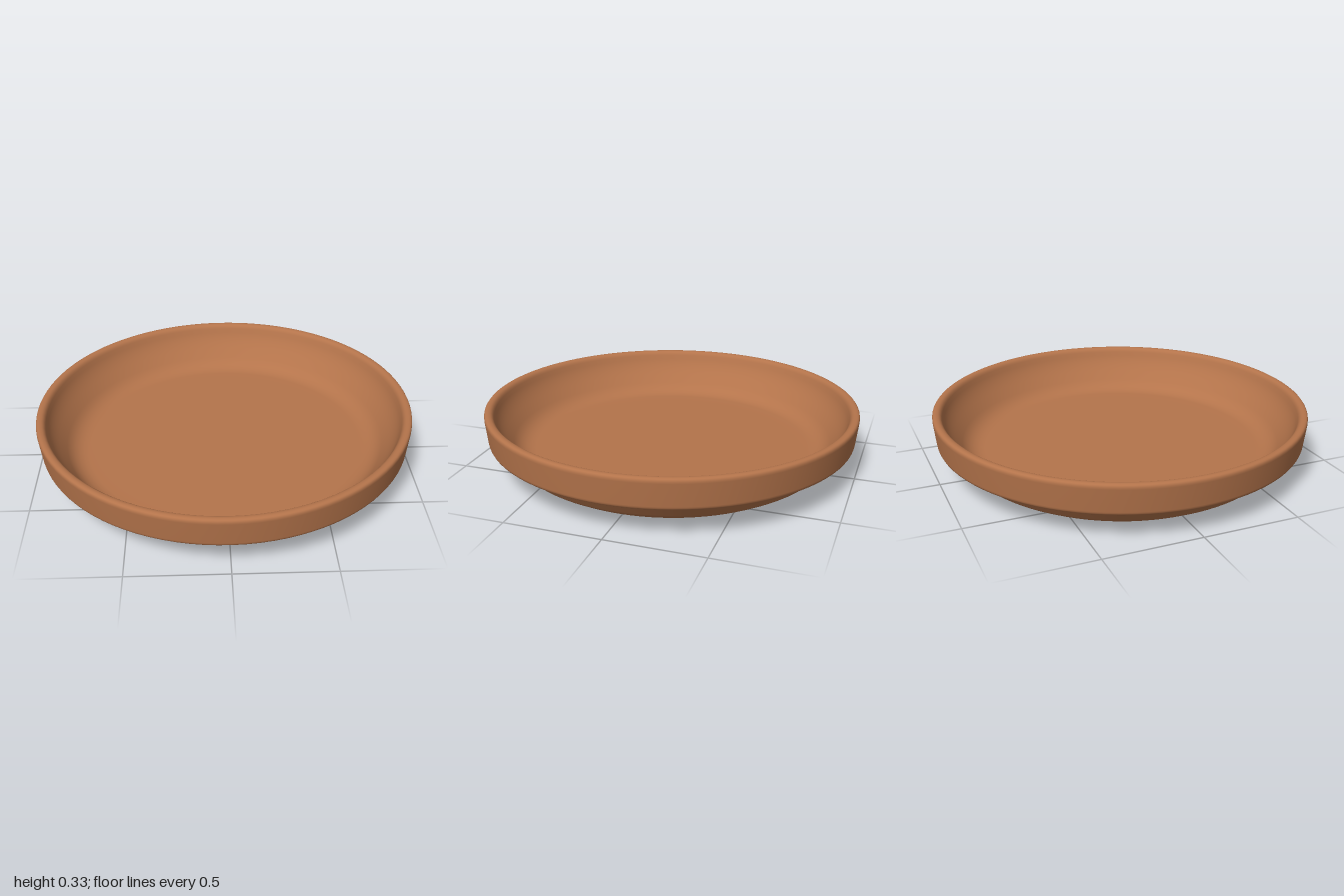
import * as THREE from 'three';

// Turns a coarse outline into a profile with small rounded corners: [radius, height, rounding]
function roundedProfile(outline) {
  const pts = [];
  outline.forEach(([x, y, r = 0], i) => {
    const p = new THREE.Vector2(x, y);
    if (!r) { pts.push(p); return; }
    const toward = (q) => {
      const d = new THREE.Vector2(q[0], q[1]).sub(p);
      return d.clone().setLength(Math.min(r, d.length() * 0.45)).add(p);
    };
    const a = toward(outline[i - 1]), b = toward(outline[i + 1]);
    pts.push(...new THREE.QuadraticBezierCurve(a, p, b).getPoints(5));
  });
  return pts;
}

export function createModel() {
  const terracotta = new THREE.MeshStandardMaterial({ color: 0xb4744b });
  terracotta.name = 'terracotta';

  // One closed outline: underside, foot, flared wall, rim band, inner wall, floor
  const outline = [
    [0, 0.014],
    [0.55, 0.014, 0.02],   // shallow recess under the base
    [0.585, 0, 0.015],
    [0.785, 0, 0.02],      // foot ring
    [0.805, 0.024, 0.012],
    [0.84, 0.034, 0.02],   // small step above the foot
    [0.915, 0.134, 0.015],
    [0.982, 0.138, 0.022], // underside of the rim band
    [1.0, 0.302, 0.025],
    [0.955, 0.302, 0.025], // rounded lip
    [0.925, 0.22, 0.06],
    [0.81, 0.07, 0.07],    // soft turn into the floor
    [0.6, 0.07, 0.05],
    [0, 0.068],
  ];
  const saucer = new THREE.Mesh(new THREE.LatheGeometry(roundedProfile(outline), 96), terracotta);
  saucer.name = 'saucer';

  // The dish sits at a very slight lean
  saucer.rotation.z = 0.0135;
  saucer.position.set(0.003, 0.0105, 0);

  const group = new THREE.Group();
  group.name = 'plantSaucer';
  group.add(saucer);
  return group;
}
